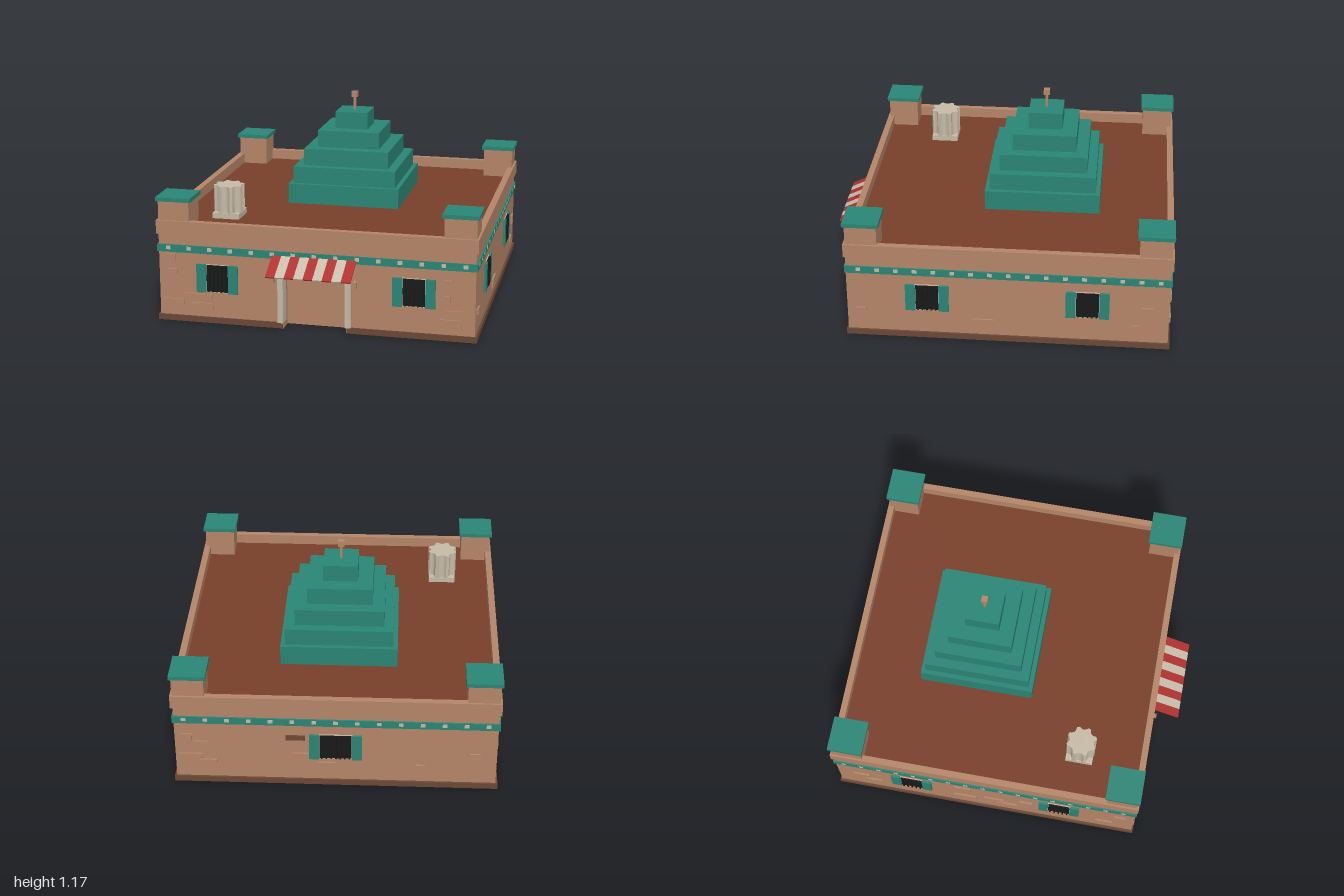
import * as THREE from 'three';

const mat = (name, color) => Object.assign(new THREE.MeshStandardMaterial({ color }), { name });

export function createModel() {
  const root = new THREE.Group();
  root.name = 'adobeBuilding';
  const wall = mat('clay', 0xb58668), dark = mat('darkBrown', 0x6b4836), teal = mat('teal', 0x2a8676);
  const roofMat = mat('roofBrown', 0x79402a), stone = mat('paleStone', 0xc6bba7), glass = mat('darkGlass', 0x191919);
  const red = mat('awningRed', 0xb0322f), cream = mat('awningCream', 0xcabdab);

  const add = (name, geo, material, parent = root) => {
    const m = new THREE.Mesh(geo, material);
    m.name = name;
    parent.add(m);
    return m;
  };
  // Box given by its limits on each axis
  const box = (name, material, x0, x1, y0, y1, z0, z1, parent = root) => {
    const m = add(name, new THREE.BoxGeometry(x1 - x0, y1 - y0, z1 - z0), material, parent);
    m.position.set((x0 + x1) / 2, (y0 + y1) / 2, (z0 + z1) / 2);
    return m;
  };
  // Raise a floor plan (shape y = -z) from y0 to y1
  const raise = (shape, y0, y1) => new THREE.ExtrudeGeometry(shape, { depth: y1 - y0, bevelEnabled: false })
    .rotateX(-Math.PI / 2).translate(0, y0, 0);
  const plan = pts => new THREE.Shape(pts.map(([x, z]) => new THREE.Vector2(x, -z)));
  const notched = (hx, z0, z1, nx, nz) => plan([
    [-hx, z1], [-nx, z1], [-nx, nz], [nx, nz], [nx, z1], [hx, z1], [hx, z0], [-hx, z0]]);

  // Main walls with a recessed doorway; they reach the ground inside the base course
  add('base', raise(notched(0.92, -0.997, 0.847, 0.185, 0.74), 0.002, 0.036), dark);
  add('walls', raise(notched(0.908, -0.985, 0.838, 0.18, 0.75), 0, 0.412), wall);
  box('upperWall', wall, -0.908, 0.908, 0.412, 0.525, -0.985, 0.838);
  box('tealBand', teal, -0.917, 0.917, 0.411, 0.455, -0.994, 0.845);
  box('roof', roofMat, -0.89, 0.89, 0.52, 0.532, -0.97, 0.82);

  // Parapet ring
  const ring = plan([[-0.92, 0.847], [0.92, 0.847], [0.92, -0.997], [-0.92, -0.997]]);
  ring.holes.push(plan([[-0.882, 0.81], [-0.882, -0.96], [0.882, -0.96], [0.882, 0.81]]));
  add('parapet', raise(ring, 0.514, 0.594), wall);

  // Corner posts with flat caps
  for (const s of [-1, 1]) for (const z of [0.745, -0.895]) {
    const x = s * 0.818;
    box('cornerPost', wall, x - 0.09, x + 0.09, 0.52, 0.706, z - 0.09, z + 0.09);
    box('postCap', teal, x - 0.102, x + 0.102, 0.705, 0.728, z - 0.102, z + 0.102);
  }

  // Stepped pyramid and finial
  const pz = -0.229;
  [0.337, 0.311, 0.258, 0.188, 0.1].forEach((h, i) =>
    box('pyramidTier', teal, -h, h, i ? 0.55 + i * 0.101 : 0.53, 0.651 + i * 0.101, pz - h, pz + h));
  box('finialPole', wall, -0.008, 0.008, 1.05, 1.14, pz - 0.008, pz + 0.008);
  box('finialCap', wall, -0.018, 0.018, 1.135, 1.168, pz - 0.018, pz + 0.018);

  // Fluted chimney on a square plinth
  const flutes = new THREE.Shape();
  const n = 8, at = (a, r) => [Math.cos(a) * r, Math.sin(a) * r];
  for (let i = 0; i < n; i++) {
    const a = ((i + 0.5) / n) * Math.PI * 2, d = Math.PI / n;
    if (!i) flutes.moveTo(...at(a - 0.1, 0.089));
    flutes.lineTo(...at(a + 0.1, 0.089));
    flutes.quadraticCurveTo(...at(a + d, 0.058), ...at(a + 2 * d - 0.1, 0.089));
  }
  const chimney = new THREE.Group();
  chimney.name = 'chimney';
  chimney.position.set(-0.603, 0, 0.452);
  root.add(chimney);
  box('plinth', stone, -0.08, 0.08, 0.53, 0.565, -0.08, 0.08, chimney);
  add('flutedShaft', raise(flutes, 0.56, 0.722), stone, chimney);

  // Doorway pillars and wall lanterns
  for (const s of [-1, 1]) {
    const p = s * 0.194;
    box('doorPillar', stone, p - 0.016, p + 0.016, 0.036, 0.37, 0.78, 0.856);
    const l = s * 0.236;
    box('lantern', wall, l - 0.01, l + 0.01, 0.275, 0.312, 0.845, 0.871);
    const cap = add('lanternCap', new THREE.ConeGeometry(0.012, 0.018, 4), wall);
    cap.position.set(l, 0.32, 0.858);
    box('lanternBracket', wall, l - 0.004, l + 0.004, 0.296, 0.304, 0.835, 0.85);
  }

  // Striped awning
  const awning = new THREE.Group();
  awning.name = 'awning';
  awning.position.set(0, 0.43, 0.842);
  awning.rotation.x = Math.atan2(0.077, 0.157);
  root.add(awning);
  const w = 0.0535;
  for (let i = 0; i < 9; i++)
    box('awningStripe', i % 2 ? cream : red, (i - 4.5) * w, (i - 3.5) * w, -0.006, 0.002, 0, 0.176, awning);

  // Fittings for each side: local x runs along the wall, local z points outwards
  const side = (name, angle, x, z) => {
    const g = new THREE.Group();
    g.name = name;
    g.rotation.y = angle;
    g.position.set(x, 0, z);
    root.add(g);
    return g;
  };
  const barredWindow = (g, u, half) => {
    box('windowFrame', stone, u - half - 0.004, u + half + 0.004, 0.185, 0.351, -0.005, 0.005, g);
    box('windowGlass', glass, u - half, u + half, 0.19, 0.347, 0, 0.008, g);
    const count = Math.round(half * 80);
    for (let i = 0; i < count; i++) {
      const b = u - half + (i + 0.5) * 2 * half / count;
      box('windowBar', glass, b - 0.004, b + 0.004, 0.19, 0.347, 0.006, 0.017, g);
    }
    for (const s of [-1, 1]) {
      const c = u + s * (half + 0.031);
      box('shutter', teal, c - 0.028, c + 0.028, 0.183, 0.35, -0.005, 0.014, g);
    }
  };
  const stones = (g, list, material = wall) => list.forEach(([u, y, a, b]) =>
    box('wallStone', material, u - a / 2, u + a / 2, y - b / 2, y + b / 2, -0.005, 0.01, g));
  const dots = (g, u0, u1, count) => {
    for (let i = 0; i < count; i++) {
      const u = u0 + (u1 - u0) * i / (count - 1);
      box('bandTile', stone, u - 0.013, u + 0.013, 0.426, 0.448, 0, 0.0105, g);
    }
  };

  const front = side('frontFittings', 0, 0, 0.836);
  barredWindow(front, -0.565, 0.062);
  barredWindow(front, 0.565, 0.062);
  dots(front, -0.851, 0.851, 15);
  stones(front, [
    [-0.842, 0.382, 0.067, 0.04], [-0.834, 0.297, 0.065, 0.03], [-0.828, 0.118, 0.124, 0.03],
    [-0.676, 0.156, 0.163, 0.034], [-0.656, 0.096, 0.124, 0.045], [0.752, 0.337, 0.06, 0.03],
    [0.745, 0.235, 0.045, 0.055], [0.79, 0.158, 0.094, 0.04], [0.77, 0.097, 0.124, 0.055]]);

  const back = side('backFittings', Math.PI, 0, -0.985);
  barredWindow(back, 0, 0.09);
  dots(back, -0.851, 0.851, 15);
  stones(back, [
    [-0.84, 0.31, 0.06, 0.05], [-0.76, 0.27, 0.08, 0.03], [-0.82, 0.18, 0.13, 0.035],
    [-0.72, 0.14, 0.1, 0.035], [-0.2, 0.2, 0.1, 0.035],
    [-0.05, 0.14, 0.11, 0.035], [0.48, 0.13, 0.05, 0.045], [0.78, 0.22, 0.07, 0.04]]);
  stones(back, [[-0.226, 0.325, 0.11, 0.03]], dark);

  // The long sides share the same pair of windows; u = -z on the +x side
  for (const s of [-1, 1]) {
    const g = side(s > 0 ? 'leftFittings' : 'rightFittings', s * Math.PI / 2, s * 0.908, 0);
    for (const z of [0.38, -0.527]) barredWindow(g, -s * z, 0.064);
    dots(g, -s * 0.765, s * 0.93, 17);
    stones(g, s > 0
      ? [[-0.762, 0.166, 0.065, 0.032], [-0.062, 0.11, 0.123, 0.058], [0.862, 0.236, 0.065, 0.055],
        [0.8, 0.123, 0.043, 0.043]]
      : [[-0.84, 0.24, 0.1, 0.04], [-0.76, 0.17, 0.1, 0.035], [-0.21, 0.33, 0.1, 0.04],
        [-0.2, 0.17, 0.14, 0.04], [-0.02, 0.21, 0.12, 0.035], [0.06, 0.15, 0.12, 0.04],
        [0.18, 0.25, 0.08, 0.035], [0.66, 0.15, 0.1, 0.04], [0.75, 0.29, 0.07, 0.04]]);
  }
  return root;
}
